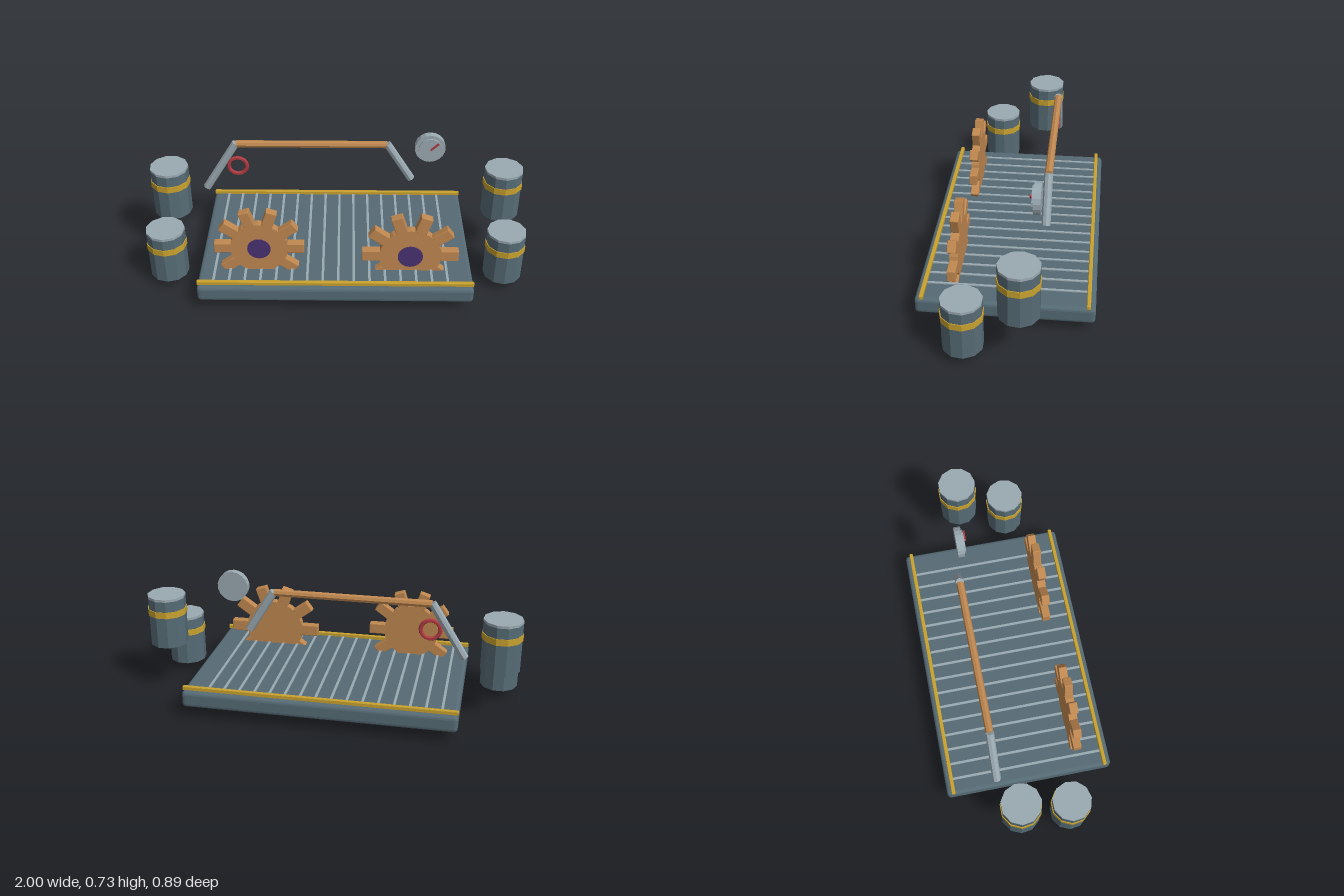
import * as THREE from 'three';
import { RoundedBoxGeometry } from 'three/addons/geometries/RoundedBoxGeometry.js';

export function createModel() {
  const model = new THREE.Group();
  model.name = 'machineDeck';

  const paint = (name, color) => {
    const m = new THREE.MeshStandardMaterial({ color });
    m.name = name;
    return m;
  };
  const slate = paint('slate', 0x566b75);
  const steel = paint('steel', 0x9aa9b1);
  const copper = paint('copper', 0xc08850);
  const brass = paint('brass', 0xc9a22e);
  const purple = paint('purple', 0x4a3272);
  const red = paint('red', 0xb03a42);

  // Adds a facetted mesh to a parent
  const add = (parent, name, geometry, material, x = 0, y = 0, z = 0) => {
    const g = geometry.index ? geometry.toNonIndexed() : geometry;
    g.computeVertexNormals();
    const mesh = new THREE.Mesh(g, material);
    mesh.name = name;
    mesh.position.set(x, y, z);
    parent.add(mesh);
    return mesh;
  };
  const group = (name, x, y, z) => {
    const g = new THREE.Group();
    g.name = name;
    g.position.set(x, y, z);
    model.add(g);
    return g;
  };
  // Cylinder whose axis runs along z
  const disc = (r, depth, sides) => new THREE.CylinderGeometry(r, r, depth, sides).rotateX(Math.PI / 2);

  // Deck with ribs and edge rails
  add(model, 'deck', new RoundedBoxGeometry(1.425, 0.09, 0.89, 2, 0.02), slate, 0, 0.12, 0);
  for (let i = 0; i < 16; i++) {
    add(model, 'deckRib', new THREE.BoxGeometry(0.013, 0.012, 0.8), steel, -0.63 + i * 0.0807, 0.164, 0);
  }
  for (const s of [-1, 1]) {
    add(model, 'edgeRail', new RoundedBoxGeometry(1.425, 0.024, 0.02, 1, 0.004), brass, 0, 0.173, s * 0.41);
  }

  // Gears with ten teeth and a front hub
  for (const [x, y, size] of [[-0.395, 0.302, 0.233], [0.388, 0.257, 0.251]]) {
    const gear = group('gear', x, y, 0.268);
    add(gear, 'gearDisc', disc(size * 0.645, 0.044, 20), copper);
    for (let i = 0; i < 10; i++) {
      const a = (i * Math.PI) / 5;
      const r = size * 0.81;
      const tooth = add(gear, 'gearTooth', new RoundedBoxGeometry(size * 0.38, size * 0.25, 0.044, 1, 0.004),
        copper, Math.cos(a) * r, Math.sin(a) * r, 0);
      tooth.rotation.z = a;
    }
    add(gear, 'gearHub', disc(size * 0.26, 0.012, 20), purple, 0, 0, 0.021);
  }

  // Barrels, a low one and a high one on each side
  for (const x of [-0.895, 0.895]) {
    for (const [y, z] of [[0.065, 0.178], [0.28, -0.09]]) {
      const barrel = group('barrel', x, y, z);
      add(barrel, 'barrelBody', new THREE.CylinderGeometry(0.102, 0.102, 0.266, 11), slate, 0, 0.133, 0);
      add(barrel, 'barrelLid', new THREE.CylinderGeometry(0.102, 0.102, 0.014, 11), steel, 0, 0.273, 0);
      add(barrel, 'barrelBand', new THREE.CylinderGeometry(0.106, 0.106, 0.035, 11), brass, 0, 0.191, 0);
    }
  }

  // Overhead pipe with two sloping ends
  const rod = (name, a, b, r, material) => {
    const from = new THREE.Vector3(...a), to = new THREE.Vector3(...b);
    const dir = to.clone().sub(from);
    const mid = from.add(to).multiplyScalar(0.5);
    const mesh = add(model, name, new THREE.CylinderGeometry(r, r, dir.length(), 8), material, mid.x, mid.y, mid.z);
    mesh.quaternion.setFromUnitVectors(new THREE.Vector3(0, 1, 0), dir.normalize());
  };
  const pz = -0.178;
  rod('pipe', [-0.54, 0.647, pz], [0.27, 0.647, pz], 0.02, copper);
  rod('pipeEndRight', [-0.54, 0.652, pz], [-0.715, 0.367, pz], 0.022, steel);
  rod('pipeEndLeft', [0.272, 0.652, pz], [0.408, 0.432, pz], 0.022, steel);

  // Valve ring beside the pipe
  add(model, 'valveRing', new THREE.TorusGeometry(0.05, 0.011, 6, 16), red, -0.537, 0.508, pz);

  // Gauge with raised face and needle
  const gauge = group('gauge', 0.498, 0.655, -0.142);
  add(gauge, 'gaugeCase', disc(0.081, 0.036, 18), steel);
  add(gauge, 'gaugeFace', disc(0.062, 0.01, 18), steel, 0, 0, 0.022);
  const needle = add(gauge, 'gaugeNeedle', new THREE.BoxGeometry(0.056, 0.009, 0.008), red, 0.022, 0.02, 0.033);
  needle.rotation.z = 0.75;

  return model;
}
